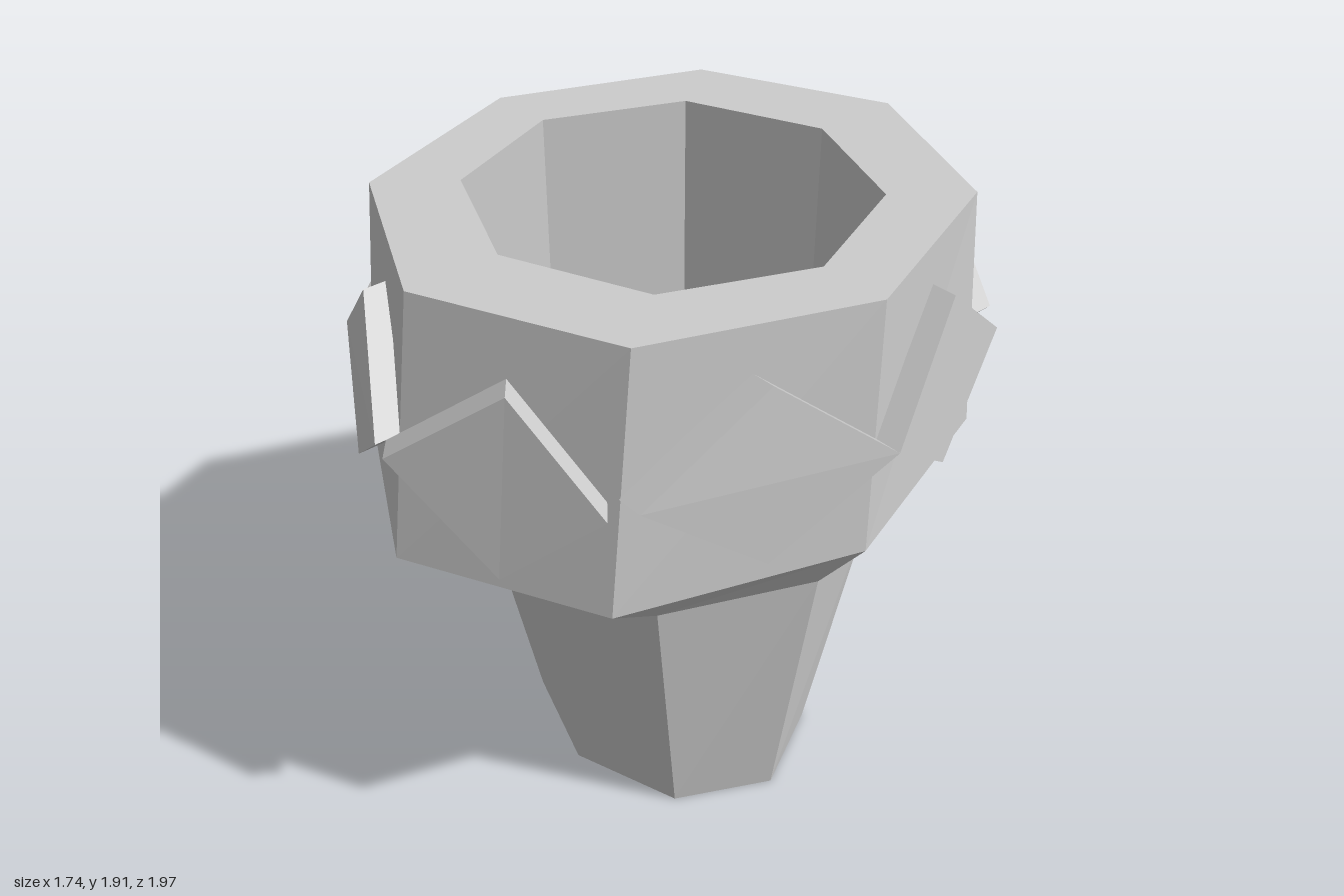
import * as THREE from 'three';

const material = new THREE.MeshStandardMaterial({ color: 0xcccccc, flatShading: true });

// Builds a flat-shaded geometry from four-cornered faces, counter-clockwise from outside
function fromQuads(quads) {
  const pos = [];
  for (const [a, b, c, d] of quads) {
    for (const p of [a, b, c, a, c, d]) pos.push(p[0], p[1], p[2]);
  }
  const geo = new THREE.BufferGeometry();
  geo.setAttribute('position', new THREE.Float32BufferAttribute(pos, 3));
  geo.computeVertexNormals();
  return geo;
}

// Octagonal shell: rings of [height, half width, half depth] from the base, over the rim, down into the bowl
function shell(rings, sides = 8) {
  const point = ([y, rx, rz], i) => {
    const a = (i / sides) * Math.PI * 2;
    return [rx * Math.sin(a), y, rz * Math.cos(a)];
  };
  const quads = [];
  for (let r = 0; r < rings.length - 1; r++) {
    for (let i = 0; i < sides; i++) {
      quads.push([point(rings[r], i), point(rings[r], i + 1), point(rings[r + 1], i + 1), point(rings[r + 1], i)]);
    }
  }
  return fromQuads(quads);
}

// Diamond plate: four outer corners pushed inward by the vector `inward`
function plate(corners, inward) {
  const [a, b, , d] = corners.map((c) => new THREE.Vector3(...c));
  const normal = b.sub(a).cross(d.sub(a));
  const outer = normal.dot(new THREE.Vector3(...inward)) < 0 ? corners : [...corners].reverse();
  const inner = outer.map((c) => c.map((v, k) => v + inward[k]));
  const quads = [outer, [...inner].reverse()];
  for (let i = 0; i < 4; i++) {
    const j = (i + 1) % 4;
    quads.push([outer[i], inner[i], inner[j], outer[j]]);
  }
  return fromQuads(quads);
}

export function createModel() {
  const group = new THREE.Group();
  const add = (name, geo) => {
    const mesh = new THREE.Mesh(geo, material);
    mesh.name = name;
    group.add(mesh);
  };

  // Tapered handle, flared collar and hollow head
  add('body', shell([
    [0, 0, 0],
    [0, 0.49, 0.4],
    [0.935, 0.63, 0.615],
    [1.145, 0.79, 0.96],
    [1.91, 0.78, 0.845],
    [1.91, 0.57, 0.57],
    [1.1, 0.57, 0.57],
    [1.1, 0, 0],
  ]));

  // Diamond plates for one quarter, mirrored round the head
  const endDiamond = [[0, 1.52, 0.985], [0.29, 1.77, 0.805], [0.56, 1.52, 0.725], [0.31, 1.27, 0.875]];
  const sideDiamond = [[0.87, 1.51, 0], [0.735, 1.78, 0.32], [0.64, 1.51, 0.65], [0.755, 1.26, 0.33]];
  for (const sx of [1, -1]) {
    for (const sz of [1, -1]) {
      const where = (sz > 0 ? 'Front' : 'Back') + (sx > 0 ? 'Left' : 'Right');
      // The front left plate is skewed outward along its wall
      const skewed = sx > 0 && sz > 0;
      const shift = skewed ? [0.063, 0, 0.01] : [0, 0, sz > 0 ? -0.008 : 0.012];
      const inward = skewed ? [-0.063, 0, -0.05] : [0, 0, -0.08 * sz];
      const end = endDiamond.map(([x, y, z]) => [sx * x + shift[0], y, sz * z + shift[2]]);
      add('endDiamond' + where, plate(end, inward));

      const pull = sx < 0 && sz > 0 ? 0.02 : 0;
      const side = sideDiamond.map(([x, y, z]) => [sx * (x - pull), y, sz * z]);
      add('sideDiamond' + where, plate(side, [-0.08 * sx, 0, 0]));
    }
  }
  return group;
}
